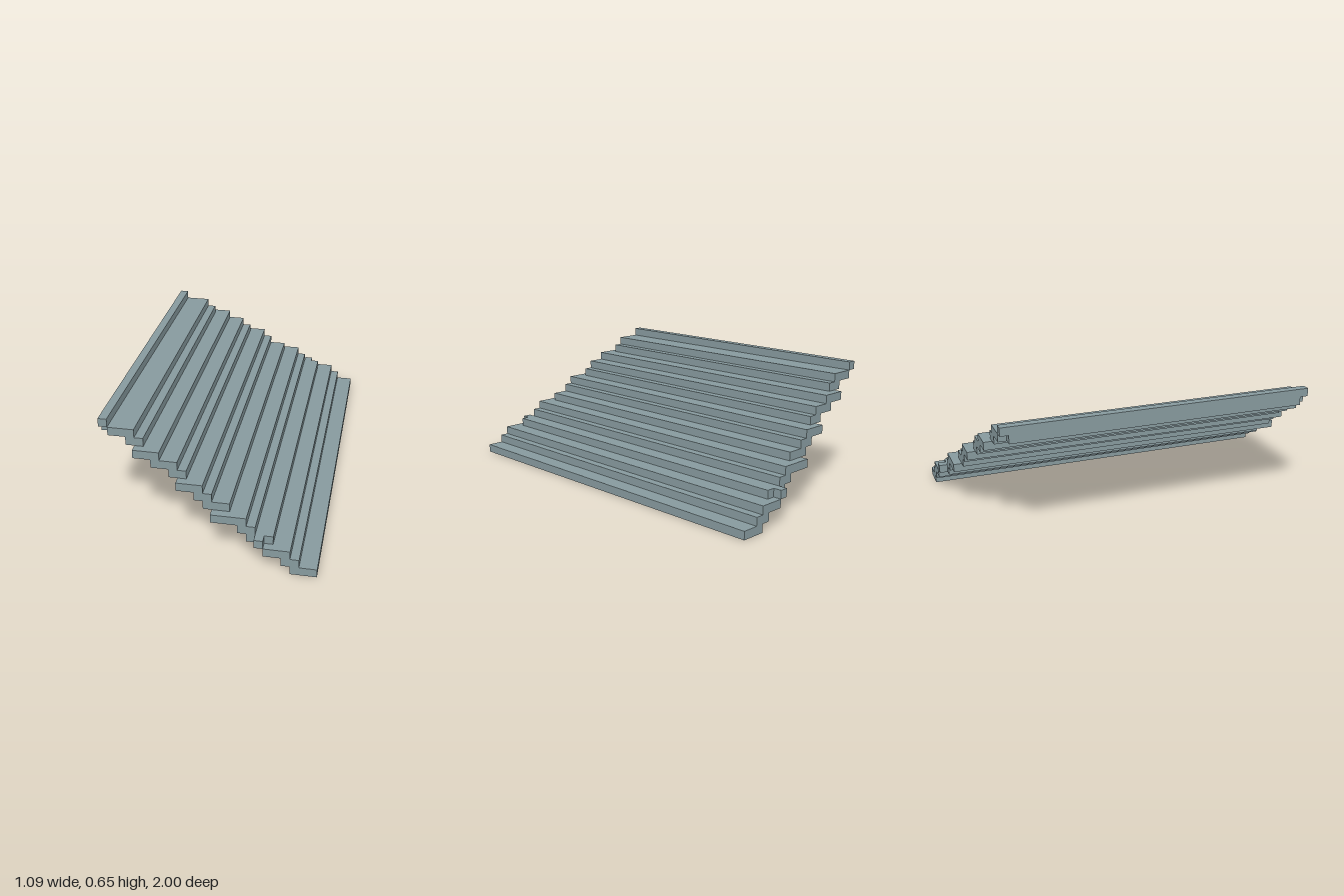
import * as THREE from 'three';

const U = 2 / 46; // one block unit

export function createModel() {
  const group = new THREE.Group();
  group.name = 'steppedSlope';
  const slate = new THREE.MeshStandardMaterial({ color: 0x879a9e });
  slate.name = 'slateGrey';

  // A long plank one unit high: x range, layer and half length in units
  const plank = (name, x0, x1, layer, half) => {
    const mesh = new THREE.Mesh(new THREE.BoxGeometry((x1 - x0) * U, U, 2 * half * U), slate);
    mesh.position.set(((x0 + x1) / 2 - 12.5) * U, (layer + 0.5) * U, 0);
    mesh.name = name;
    group.add(mesh);
  };

  // Steps from the bottom up: [layer, x start, x end, half length]
  const steps = [
    [0, 22, 25, 23], [1, 21, 23, 23], [2, 19, 22, 23],
    [3, 17, 18, 22], [3, 18, 19, 23], [3, 19, 20, 22],
    [4, 16, 18, 22], [5, 13, 17, 22],
    [6, 12, 15, 21], [7, 11, 13, 21], [8, 9, 12, 21],
    [9, 8, 10, 20], [10, 6, 9, 20], [11, 4, 7, 20],
    [12, 3, 5, 19], [13, 1, 4, 19],
  ];
  steps.forEach(([layer, x0, x1, half], i) => plank('step' + (i + 1), x0, x1, layer, half));

  // Ridge along the upper edge and the slightly shorter strip beneath it
  plank('ridgeSupport', 0, 1, 13, 18);
  plank('ridge', 0, 1, 14, 19);
  return group;
}
